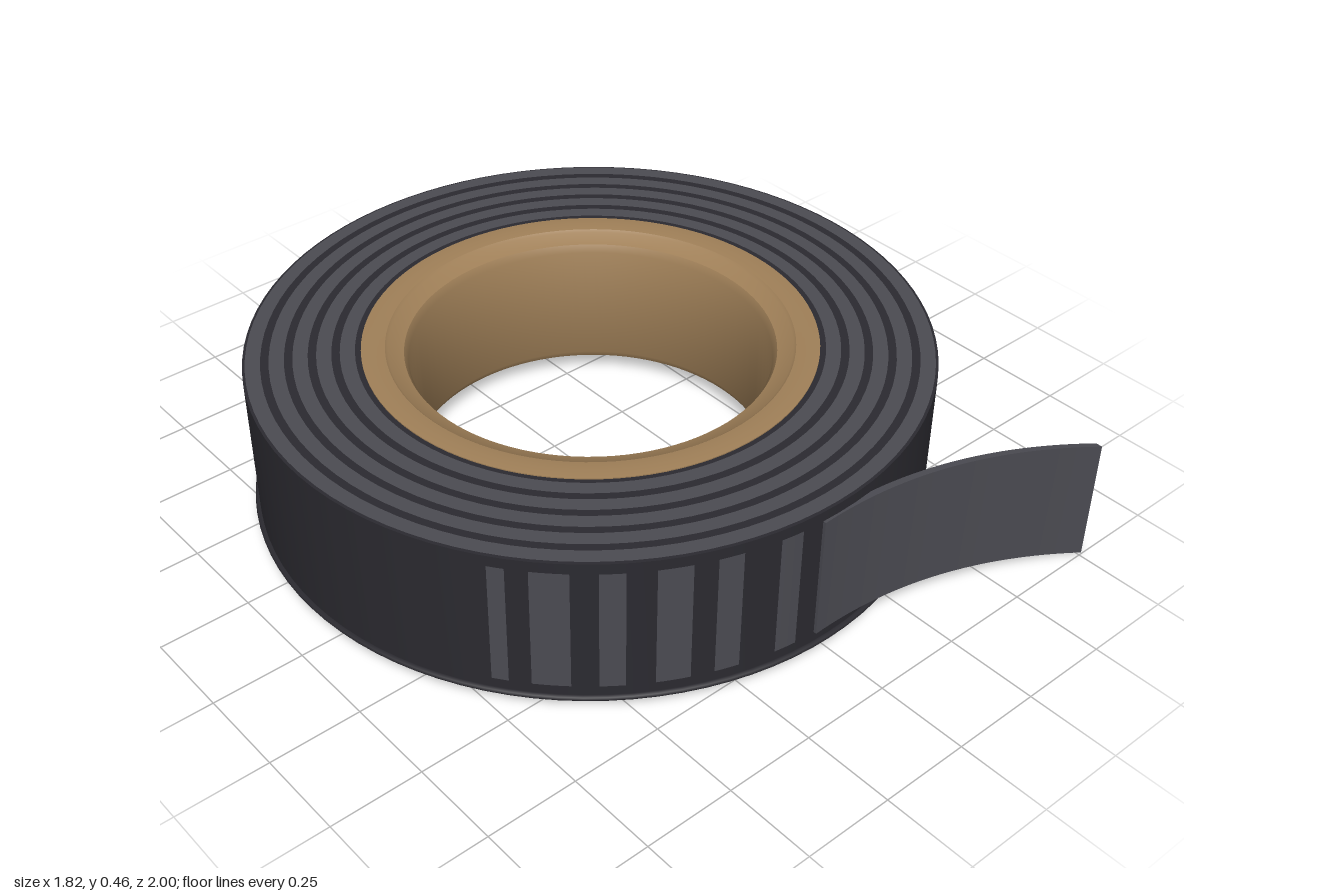
import * as THREE from 'three';
import { toCreasedNormals } from 'three/addons/utils/BufferGeometryUtils.js';

const paint = (color) => new THREE.MeshStandardMaterial({ color, side: THREE.DoubleSide });
const BLACK = paint(0x2b2a30);
const GREY = paint(0x4b4b52);
const BROWN = paint(0xa08058);

const BOTTOM = 0.04, TOP = 0.458, R = 0.9;

function add(parent, name, geometry, material) {
  const mesh = new THREE.Mesh(geometry, material);
  mesh.name = name;
  parent.add(mesh);
  return mesh;
}

// Profile of [radius, height] pairs, bottom to top, spun about y
function spin(profile) {
  const points = profile.map(([r, y]) => new THREE.Vector2(r, y));
  return toCreasedNormals(new THREE.LatheGeometry(points, 96), 0.6);
}

export function createModel() {
  const model = new THREE.Group();
  model.name = 'tapeRoll';

  const roll = new THREE.Group();
  roll.name = 'roll';
  roll.position.z = -0.087;
  model.add(roll);

  // Wound tape
  add(roll, 'woundTape', spin([[0.59, BOTTOM], [R, BOTTOM], [R, TOP], [0.59, TOP]]), BLACK);

  // Thin lip around the bottom edge
  const lip = add(roll, 'bottomLip', new THREE.TorusGeometry(0.902, 0.01, 8, 96), BLACK);
  lip.rotation.x = Math.PI / 2;
  lip.scale.z = 0.7;
  lip.position.y = 0.044;

  // Lighter winding rings on the top face
  for (let i = 0; i < 5; i++) {
    const inner = 0.612 + i * 0.0605;
    const ring = add(roll, 'windingRing', new THREE.RingGeometry(inner, inner + 0.039, 96), GREY);
    ring.rotation.x = -Math.PI / 2;
    ring.position.y = TOP + 0.002;
  }

  // Cardboard core with rounded lips that narrow to the bore
  add(roll, 'core', spin([
    [0.476, 0.42], [0.476, 0.08], [0.487, 0.06], [0.528, 0.045], [0.535, 0.039],
    [0.565, 0.036], [0.597, 0.039], [0.597, 0.461], [0.565, 0.464], [0.535, 0.461],
    [0.528, 0.455], [0.487, 0.44], [0.476, 0.42],
  ]), BROWN);

  // Strips of the outer turn showing on the side wall
  const strips = [[-0.74, -0.715], [-0.68, -0.615], [-0.565, -0.515],
    [-0.455, -0.38], [-0.325, -0.265], [-0.17, -0.11]];
  const r = R + 0.002;
  for (const [x0, x1] of strips) {
    const start = Math.asin(x0 / r);
    const sweep = Math.asin(x1 / r) - start;
    const strip = new THREE.CylinderGeometry(r, r, 0.35, 4, 1, true, start, sweep);
    add(roll, 'outerStrip', strip, GREY).position.y = 0.255;
  }

  // Loose end, curling outward and drooping
  const x0 = -0.05, x1 = 0.762;
  const tail = new THREE.BoxGeometry(x1 - x0, 0.35, 0.018, 32, 1, 1);
  tail.translate((x0 + x1) / 2, 0.255, 0.81);
  const p = tail.attributes.position;
  for (let i = 0; i < p.count; i++) {
    const bend = (p.getX(i) / x1) ** 2;
    p.setY(i, p.getY(i) - 0.08 * bend);
    p.setZ(i, p.getZ(i) + 0.178 * bend);
  }
  tail.computeVertexNormals();
  add(model, 'looseEnd', tail, GREY);

  return model;
}
